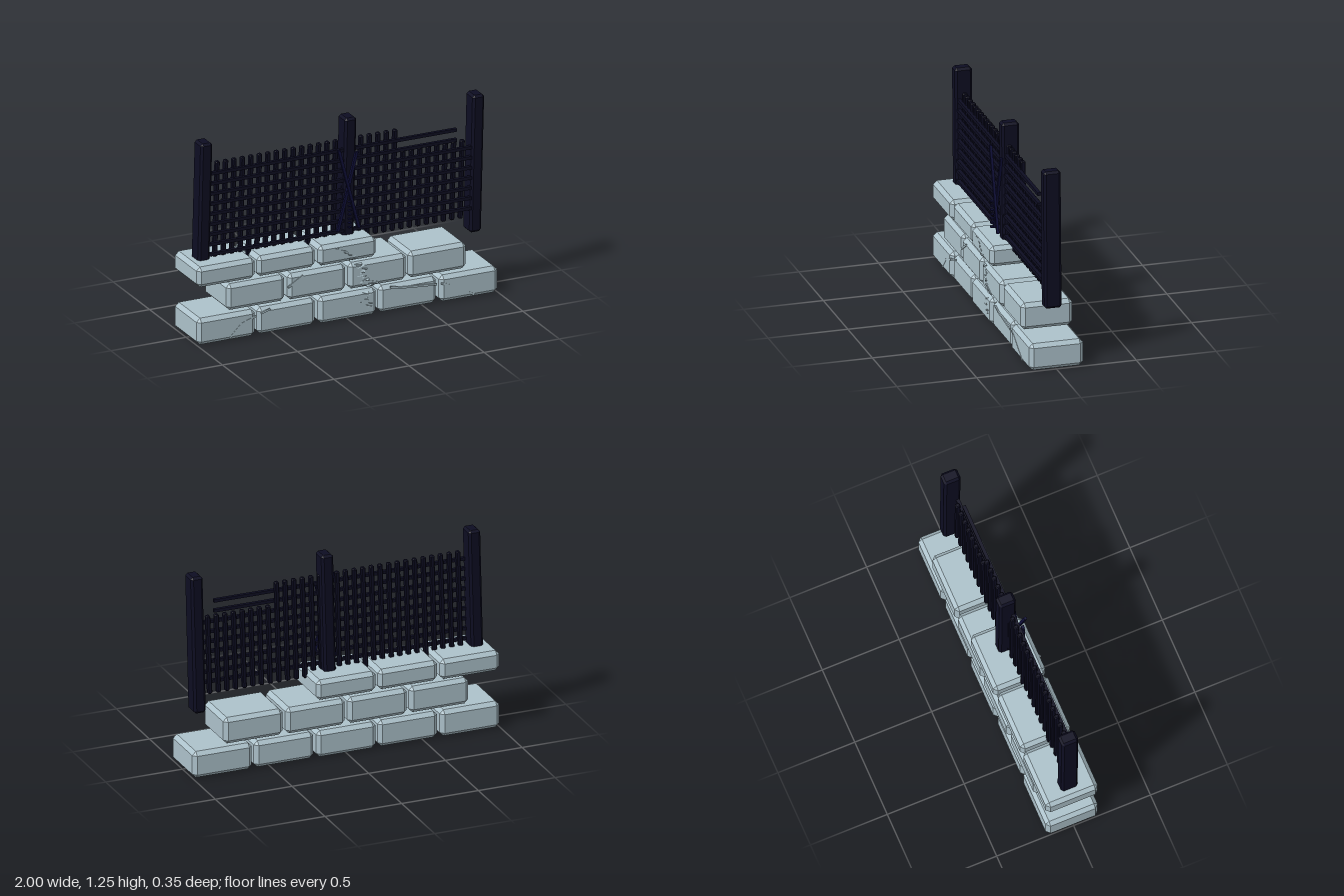
import * as THREE from 'three';
import { ConvexGeometry } from 'three/addons/geometries/ConvexGeometry.js';

const material = (name, color) => Object.assign(new THREE.MeshStandardMaterial({ color }), { name });

// Box with every edge and corner bevelled by c
function chamferBox(w, h, d, c) {
  const points = [];
  for (const x of [-1, 1]) for (const y of [-1, 1]) for (const z of [-1, 1]) {
    const [a, b, e] = [w / 2, h / 2, d / 2];
    points.push(
      new THREE.Vector3(x * a, y * (b - c), z * (e - c)),
      new THREE.Vector3(x * (a - c), y * b, z * (e - c)),
      new THREE.Vector3(x * (a - c), y * (b - c), z * e));
  }
  return new ConvexGeometry(points);
}

// Lean a geometry: shift x and z in proportion to height
function lean(geometry, dx, dz) {
  const m = new THREE.Matrix4().set(1, dx, 0, 0, 0, 1, 0, 0, 0, dz, 1, 0, 0, 0, 0, 1);
  return geometry.applyMatrix4(m);
}

export function createModel() {
  const stone = material('pale stone', 0xadc2cb);
  const wood = material('dark wood', 0x0d0d22);
  const navy = material('navy', 0x0f0f3a);
  const model = new THREE.Group();
  model.name = 'brokenFenceWall';

  function add(parent, name, geometry, mat, x = 0, y = 0, z = 0) {
    const mesh = new THREE.Mesh(geometry, mat);
    mesh.name = name;
    mesh.position.set(x, y, z);
    parent.add(mesh);
    return mesh;
  }
  function group(name) {
    const g = new THREE.Group();
    g.name = name;
    model.add(g);
    return g;
  }

  // Three courses of bricks: left end, bottom, top, front face of each brick
  const wall = group('stoneWall');
  const courses = [
    [-1, 0, 0.17, [0.166, 0.158, 0.166, 0.158, 0.166]],
    [-0.8, 0.186, 0.355, [0.158, 0.164, 0.164, 0.156]],
    [-1, 0.37, 0.5, [0.166, 0.158, 0.166]],
  ];
  for (const [left, y0, y1, fronts] of courses) {
    fronts.forEach((front, i) => {
      const back = front > 0.16 ? -0.173 : -0.168;
      const brick = chamferBox(0.387, y1 - y0, front - back, 0.024);
      add(wall, 'brick', brick, stone, left + 0.1935 + i * 0.4033, (y0 + y1) / 2, (front + back) / 2);
    });
  }

  // Thin raised cracks across the brick faces
  const cracks = group('cracks');
  const crackPaths = [
    [[-0.79, 0.015], [-0.71, 0.095], [-0.61, 0.13]],
    [[-0.58, 0.14], [-0.52, 0.158]],
    [[-0.4, 0.275], [-0.3, 0.335]],
    [[0.1, 0.235], [0.2, 0.205]],
    [[0.28, 0.16], [0.35, 0.145], [0.59, 0.125]],
    [[0.62, 0.125], [0.67, 0.11], [0.84, 0.015]],
  ];
  for (const path of crackPaths) {
    for (let i = 1; i < path.length; i++) {
      const [[ax, ay], [bx, by]] = [path[i - 1], path[i]];
      const length = Math.hypot(bx - ax, by - ay);
      const strip = add(cracks, 'crack', new THREE.BoxGeometry(length, 0.012, 0.008), stone,
        (ax + bx) / 2, (ay + by) / 2, 0.164);
      strip.rotation.z = Math.atan2(by - ay, bx - ax);
    }
  }

  // Jagged chips running down the middle of the wall
  let seed = 7;
  const random = () => (seed = (seed * 16807) % 2147483647) / 2147483647;
  const chipPath = new THREE.CatmullRomCurve3(
    [[-0.03, 0.47], [0.01, 0.39], [0.06, 0.33], [0.1, 0.26], [0.12, 0.19], [0.12, 0.12], [0.1, 0.06]]
      .map(([x, y]) => new THREE.Vector3(x, y, 0.158)));
  for (let i = 0; i < 30; i++) {
    const p = chipPath.getPoint(i / 29);
    const inJoint = (p.y > 0.165 && p.y < 0.19) || (p.y > 0.35 && p.y < 0.375);
    if (inJoint) continue;
    const chip = add(cracks, 'chip', new THREE.TetrahedronGeometry(0.03).scale(1.5, 0.5, 0.5), stone,
      p.x + (random() - 0.5) * 0.07, p.y, p.z);
    chip.rotation.set(random() * 2, 0, (random() - 0.5) * 1.2);
  }

  // Leaning posts
  const fence = group('fence');
  for (const x of [-0.898, 0.061, 0.912]) {
    add(fence, 'post', lean(chamferBox(0.078, 0.885, 0.108, 0.014), 0.019, 0.013), wood, x, 0.8075, 0.006);
  }

  // Upright slats, shorter toward the broken end
  for (let i = 0; i < 30; i++) {
    const top = i < 22 ? 1.11 : 0.965;
    const slat = lean(chamferBox(0.028, top - 0.458, 0.03, 0.006), 0.022, 0.013);
    add(fence, 'slat', slat, wood, -0.81 + i * 0.0563, (top + 0.458) / 2, 0.016);
  }

  // Horizontal rails; the top two stop short of the right post
  for (let i = 0; i < 9; i++) {
    const right = i < 2 ? 0.78 : 0.885;
    add(fence, 'rail', new THREE.BoxGeometry(right + 0.88, 0.02, 0.022), wood,
      (right - 0.88) / 2, 1.045 - i * 0.065, 0.04);
  }

  // Crossed bars hung in front of the middle post
  const hanging = group('crossedBars');
  [[1, 0.095, 0.81, 0.52], [-1, 0.072, 0.785, 0.49]].forEach(([side, z, y, length]) => {
    const bar = lean(new THREE.BoxGeometry(0.018, length, 0.016), side * -0.26, side < 0 ? -0.01 : 0.008);
    add(hanging, 'bar', bar, navy, 0.038, y, z);
  });
  for (let i = 0; i < 7; i++) {
    add(hanging, 'binding', new THREE.BoxGeometry(0.022, 0.008, 0.018), navy, 0.036, 0.57 + i * 0.0272, 0.109);
  }
  return model;
}
